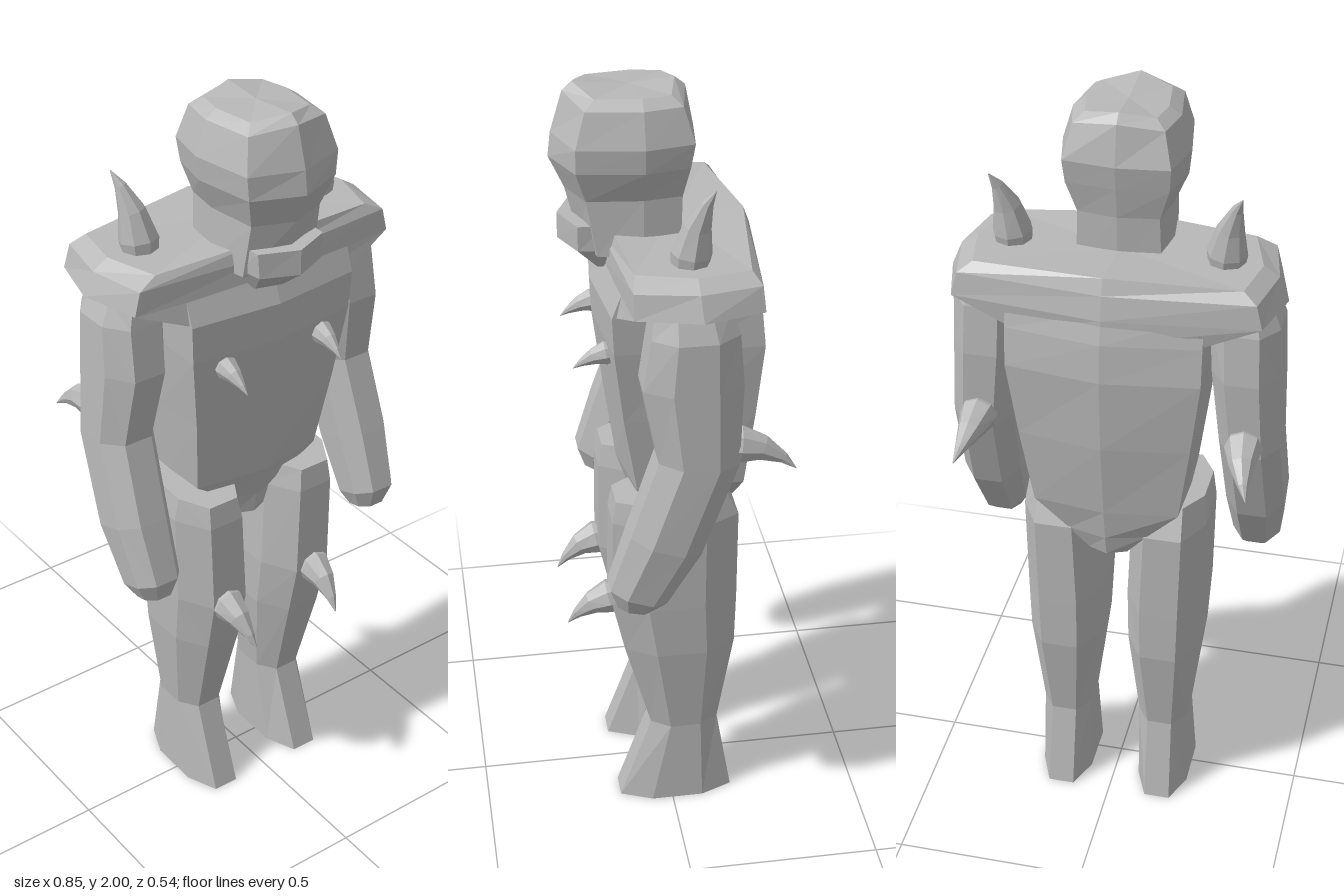
import * as THREE from 'three';

const armor = new THREE.MeshStandardMaterial({ color: 0xb8b8b8 });
armor.name = 'grey';
armor.flatShading = true;

// Skin a stack of closed rings (base to tip) and cap both ends; side -1 mirrors across x.
function loft(name, rings, side = 1) {
  const pos = [];
  const tri = (a, b, c) => {
    for (const p of side > 0 ? [a, b, c] : [a, c, b]) pos.push(p.x * side, p.y, p.z);
  };
  const n = rings[0].length;
  const middle = (r) => r.reduce((s, p) => s.add(p), new THREE.Vector3()).divideScalar(n);
  const low = rings[0], high = rings[rings.length - 1];
  const lowMid = middle(low), highMid = middle(high);
  for (let j = 0; j < n; j++) {
    const k = (j + 1) % n;
    for (let i = 0; i < rings.length - 1; i++) {
      const a = rings[i], b = rings[i + 1];
      tri(a[j], a[k], b[k]);
      tri(a[j], b[k], b[j]);
    }
    tri(lowMid, low[k], low[j]);
    tri(highMid, high[j], high[k]);
  }
  const g = new THREE.BufferGeometry();
  g.setAttribute('position', new THREE.Float32BufferAttribute(pos, 3));
  g.computeVertexNormals();
  const mesh = new THREE.Mesh(g, armor);
  mesh.name = name;
  return mesh;
}

const V = (x, y, z) => new THREE.Vector3(x, y, z);

// Symmetric eight-point body section: peaked front and back, corners and side points.
function bodyRing([y, front, fx, fz, sx, sz, bx, bz, back, rise = 0]) {
  return [V(0, y + rise, front), V(fx, y, fz), V(sx, y, sz), V(bx, y, bz),
    V(0, y + rise, back), V(-bx, y, bz), V(-sx, y, sz), V(-fx, y, fz)];
}

// Chamfered limb section between x0..x1 and z0..z1, tilted so y changes with z.
function limbRing([y, x0, x1, z0, z1, tilt = 0]) {
  const cx = (x0 + x1) / 2, cz = (z0 + z1) / 2, hx = (x1 - x0) / 2, hz = (z1 - z0) / 2;
  return [[-0.5, 1], [0.5, 1], [1, 0.45], [1, -0.45], [0.5, -1], [-0.5, -1], [-1, -0.45], [-1, 0.45]]
    .map(([u, v]) => V(cx + u * hx, y + v * tilt, cz + v * hz));
}

// Curved horn tapering along a quadratic path.
function horn(name, base, bend, tip, radius, side) {
  const path = new THREE.QuadraticBezierCurve3(V(...base), V(...bend), V(...tip));
  const rings = [[0, 0.85], [0.2, 1], [0.5, 0.68], [0.8, 0.3], [1, 0.02]].map(([t, r]) => {
    const dir = path.getTangent(t), c = path.getPoint(t);
    const u = V(1, 0, 0).addScaledVector(dir, -dir.x).normalize();
    const v = dir.clone().cross(u);
    return Array.from({ length: 8 }, (_, i) => {
      const a = i * Math.PI / 4;
      return c.clone().addScaledVector(u, Math.cos(a) * r * radius)
        .addScaledVector(v, Math.sin(a) * r * radius);
    });
  });
  return loft(name, rings, side);
}

export function createModel() {
  const model = new THREE.Group();
  model.name = 'spikedWarrior';

  // Torso, from crotch to chest
  model.add(loft('torso', [
    [0.84, 0.08, 0.05, 0.06, 0.055, -0.04, 0.05, -0.155, -0.175],
    [0.9, 0.09, 0.065, 0.07, 0.075, -0.04, 0.1, -0.165, -0.19],
    [0.99, 0.12, 0.185, 0.09, 0.19, -0.03, 0.185, -0.18, -0.205],
    [1.2, 0.15, 0.21, 0.125, 0.215, -0.03, 0.215, -0.2, -0.235],
    [1.4, 0.175, 0.235, 0.15, 0.235, -0.03, 0.24, -0.215, -0.248],
    [1.5, 0.18, 0.24, 0.155, 0.24, -0.03, 0.24, -0.205, -0.24],
    [1.58, 0.15, 0.24, 0.125, 0.24, -0.03, 0.24, -0.19, -0.22],
  ].map(bodyRing)));

  // Flared shoulder yoke
  model.add(loft('shoulderYoke', [
    [1.5, 0.165, 0.235, 0.145, 0.235, -0.03, 0.235, -0.195, -0.23],
    [1.56, 0.155, 0.375, 0.12, 0.415, -0.035, 0.375, -0.185, -0.228],
    [1.62, 0.15, 0.36, 0.12, 0.39, -0.03, 0.36, -0.18, -0.215],
    [1.645, 0.14, 0.31, 0.11, 0.35, -0.03, 0.325, -0.16, -0.2, 0.015],
  ].map(bodyRing)));

  // Helmeted head
  model.add(loft('head', [
    [1.6, 0.2, 0.105, 0.17, 0.12, 0.06, 0.105, -0.03, -0.045],
    [1.74, 0.235, 0.1, 0.195, 0.115, 0.06, 0.1, -0.035, -0.05],
    [1.82, 0.272, 0.125, 0.22, 0.15, 0.06, 0.125, -0.05, -0.065],
    [1.88, 0.265, 0.13, 0.22, 0.156, 0.06, 0.13, -0.06, -0.075],
    [1.965, 0.235, 0.11, 0.195, 0.13, 0.06, 0.11, -0.035, -0.055, 0.015],
    [1.985, 0.21, 0.085, 0.17, 0.1, 0.06, 0.085, -0.01, -0.03, 0.015],
  ].map(bodyRing)));

  // Jutting jaw
  model.add(loft('jaw', [
    [1.555, 0.185, 0.065, 0.165, 0.07, 0.13, 0.065, 0.09, 0.08],
    [1.61, 0.255, 0.09, 0.215, 0.1, 0.15, 0.1, 0.09, 0.08],
    [1.675, 0.255, 0.095, 0.215, 0.1, 0.15, 0.1, 0.09, 0.08],
  ].map(bodyRing)));

  for (const side of [1, -1]) {
    const s = side > 0 ? 'left' : 'right';

    // Arm, bent forward at the elbow
    model.add(loft(s + 'Arm', [
      [0.755, 0.305, 0.385, 0.08, 0.165, 0.01],
      [0.8, 0.285, 0.41, 0.045, 0.185, 0.025],
      [0.95, 0.275, 0.425, -0.04, 0.135, 0.03],
      [1.17, 0.265, 0.418, -0.13, 0.065, 0.01],
      [1.37, 0.24, 0.41, -0.14, 0.1],
      [1.5, 0.235, 0.405, -0.13, 0.08],
      [1.56, 0.25, 0.38, -0.11, 0.07],
    ].map(limbRing), side));

    // Leg and boot
    model.add(loft(s + 'Leg', [
      [0, 0.068, 0.206, -0.165, 0.14],
      [0.24, 0.068, 0.2, -0.125, 0.055],
      [0.5, 0.038, 0.23, -0.165, 0.125],
      [0.65, 0.034, 0.236, -0.168, 0.158],
      [0.9, 0.045, 0.24, -0.168, 0.155],
      [0.97, 0.06, 0.23, -0.13, 0.145, -0.01],
    ].map(limbRing), side));

    // Spikes
    model.add(
      horn(s + 'ShoulderSpike', [0.26, 1.62, -0.025], [0.26, 1.75, -0.03], [0.302, 1.835, -0.078], 0.05, side),
      horn(s + 'ChestSpike', [0.145, 1.365, 0.14], [0.145, 1.365, 0.19], [0.142, 1.325, 0.24], 0.03, side),
      horn(s + 'KneeSpike', [0.142, 0.65, 0.13], [0.142, 0.65, 0.21], [0.13, 0.565, 0.268], 0.045, side),
      horn(s + 'ElbowSpike', [0.335, 1.195, -0.1], [0.335, 1.2, -0.2], [0.366, 1.13, -0.272], 0.048, side),
    );
  }
  return model;
}
